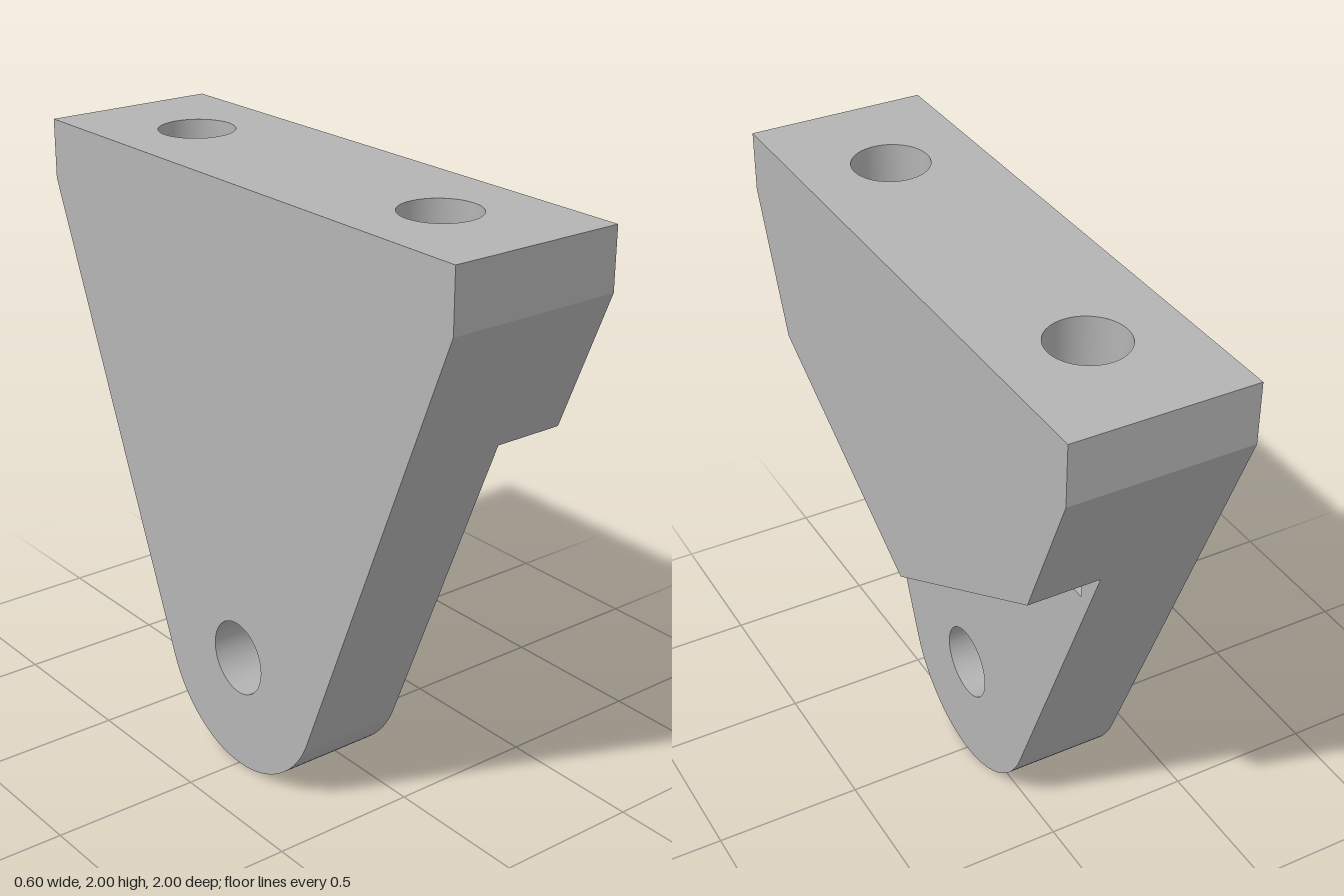
import * as THREE from 'three';

// Main dimensions
const LEFT = 0.3, RIGHT = -0.3, STEP = 0.06;   // x of block face, plate back, plate front
const TOP = 2, SHOULDER = 1.8, FLOOR = 1.2;    // heights
const R = 0.127, BOLT_Z = 0.6;                 // hole radius, bolt hole position
const PIN_Y = 0.4, END_R = 0.4;                // pin hole height and rounded end
const V0 = 0.867, K = Math.tan(Math.PI / 6);   // vee underside: y = V0 + K * |z|
const vee = z => V0 + K * Math.abs(z);

// Sloped side is tangent to the rounded end
const TAN = Math.atan2(SHOULDER - PIN_Y, 1) - Math.acos(END_R / Math.hypot(1, SHOULDER - PIN_Y));
const T = [END_R * Math.cos(TAN), PIN_Y + END_R * Math.sin(TAN)];
const slope = (1 - T[0]) / (SHOULDER - T[1]);
const EZ = (1 - (SHOULDER - V0) * slope) / (1 - K * slope);
const E = [EZ, vee(EZ)];                       // where the vee meets the sloped side

// Where the vee and the step cut the bolt holes
const CUT_Z = (FLOOR - V0) / K;
const A0 = Math.acos(STEP / R);
const A1 = Math.asin((CUT_Z - BOLT_Z) / R);
const NOTCH_Z = BOLT_Z + R * Math.sin(A0);

const arc = (cx, cy, r, from, to, n = 48) => Array.from({ length: n + 1 }, (_, i) => {
  const a = from + (to - from) * i / n;
  return [cx + r * Math.cos(a), cy + r * Math.sin(a)];
});
const mirror = pts => pts.map(([z, y]) => [-z, y]).reverse();
const toShape = (pts, holes = []) => {
  const v = p => p.map(q => new THREE.Vector2(...q));
  const s = new THREE.Shape(v(pts));
  s.holes = holes.map(h => new THREE.Path(v(h)));
  return s;
};

// Flat face: a 2D shape placed in space by a mapping rule
function face(shape, map, flip = false) {
  const g = new THREE.ShapeGeometry(shape);
  const p = g.attributes.position;
  for (let i = 0; i < p.count; i++) p.setXYZ(i, ...map(p.getX(i), p.getY(i)));
  if (flip) g.index.array.reverse();
  g.computeVertexNormals();
  return g;
}

// Ruled strip between two rows of points
function strip(a, b) {
  const pos = [], idx = [];
  a.forEach((p, i) => {
    pos.push(...p, ...b[i]);
    const k = i * 2;
    if (i < a.length - 1) idx.push(k, k + 1, k + 2, k + 1, k + 3, k + 2);
  });
  const g = new THREE.BufferGeometry();
  g.setAttribute('position', new THREE.Float32BufferAttribute(pos, 3));
  g.setIndex(idx);
  g.computeVertexNormals();
  return g;
}
const wall = (pts, x) => strip(pts.map(([z, y]) => [RIGHT, y, z]), pts.map(([z, y]) => [x, y, z]));

export function createModel() {
  const model = new THREE.Group();
  model.name = 'mountingBracket';
  const grey = new THREE.MeshStandardMaterial({ color: 0xb4b4b4 });
  grey.name = 'plain grey';
  const add = (name, geometry) => {
    const m = new THREE.Mesh(geometry, grey);
    m.name = name;
    model.add(m);
  };

  const pin = arc(0, PIN_Y, R, Math.PI * 2, 0, 64);
  const end = arc(0, PIN_Y, END_R, Math.PI - TAN, Math.PI * 2 + TAN);
  const corner = [[1, SHOULDER], [1, TOP]];
  const notch = [[NOTCH_Z, vee(NOTCH_Z)], [NOTCH_Z, FLOOR], [CUT_Z, FLOOR]];

  // Side faces
  add('plateBackFace', face(toShape([...end, ...corner, ...mirror(corner)], [pin]),
    (u, v) => [RIGHT, v, u]));
  add('plateFrontFace', face(toShape([...end, E, ...notch, [0, V0], ...mirror([E, ...notch])], [pin]),
    (u, v) => [STEP, v, -u]));
  add('blockFace', face(toShape([[0, V0], E, ...corner, ...mirror([E, ...corner])]),
    (u, v) => [LEFT, v, -u]));

  // Top with two bolt holes
  const bolts = [-BOLT_Z, BOLT_Z].map(z => arc(0, z, R, Math.PI * 2, 0, 64));
  add('topFace', face(toShape([[RIGHT, -1], [LEFT, -1], [LEFT, 1], [RIGHT, 1]], bolts),
    (u, v) => [u, TOP, -v]));

  // Outer walls
  add('roundedEnd', wall(end, STEP));
  for (const [side, order] of [['front', p => p], ['back', mirror]]) {
    add(side + 'LowerSlope', wall(order([T, E]), STEP));
    add(side + 'UpperSlope', wall(order([E, corner[0]]), LEFT));
    add(side + 'Edge', wall(order(corner), LEFT));
  }
  add('pinHole', wall(pin, STEP));

  // Vee undersides and bolt holes, mirrored front to back
  const openArc = arc(0, BOLT_Z, R, A1, A0, 24);
  const floorArc = arc(0, BOLT_Z, R, A0, Math.PI * 2 + A1, 64);
  for (const s of [1, -1]) {
    const side = s > 0 ? 'front' : 'back';
    const under = [[STEP, 0], [LEFT, 0], [LEFT, EZ], [STEP, EZ], ...[...openArc].reverse(), [STEP, CUT_Z]];
    add(side + 'VeeUnderside', face(toShape(under), (u, v) => [u, vee(v), s * v], s < 0));
    add(side + 'BoltHoleFloor', face(toShape([...floorArc, [STEP, CUT_Z]]),
      (u, v) => [u, FLOOR, s * v], s > 0));
    const bore = (pts, low) => {
      const p = s > 0 ? [...pts].reverse() : pts;
      return strip(p.map(([x, z]) => [x, low(z), s * z]), p.map(([x, z]) => [x, TOP, s * z]));
    };
    add(side + 'BoltHoleOpenWall', bore(openArc, vee));
    add(side + 'BoltHoleWall', bore(floorArc, () => FLOOR));
  }
  return model;
}
